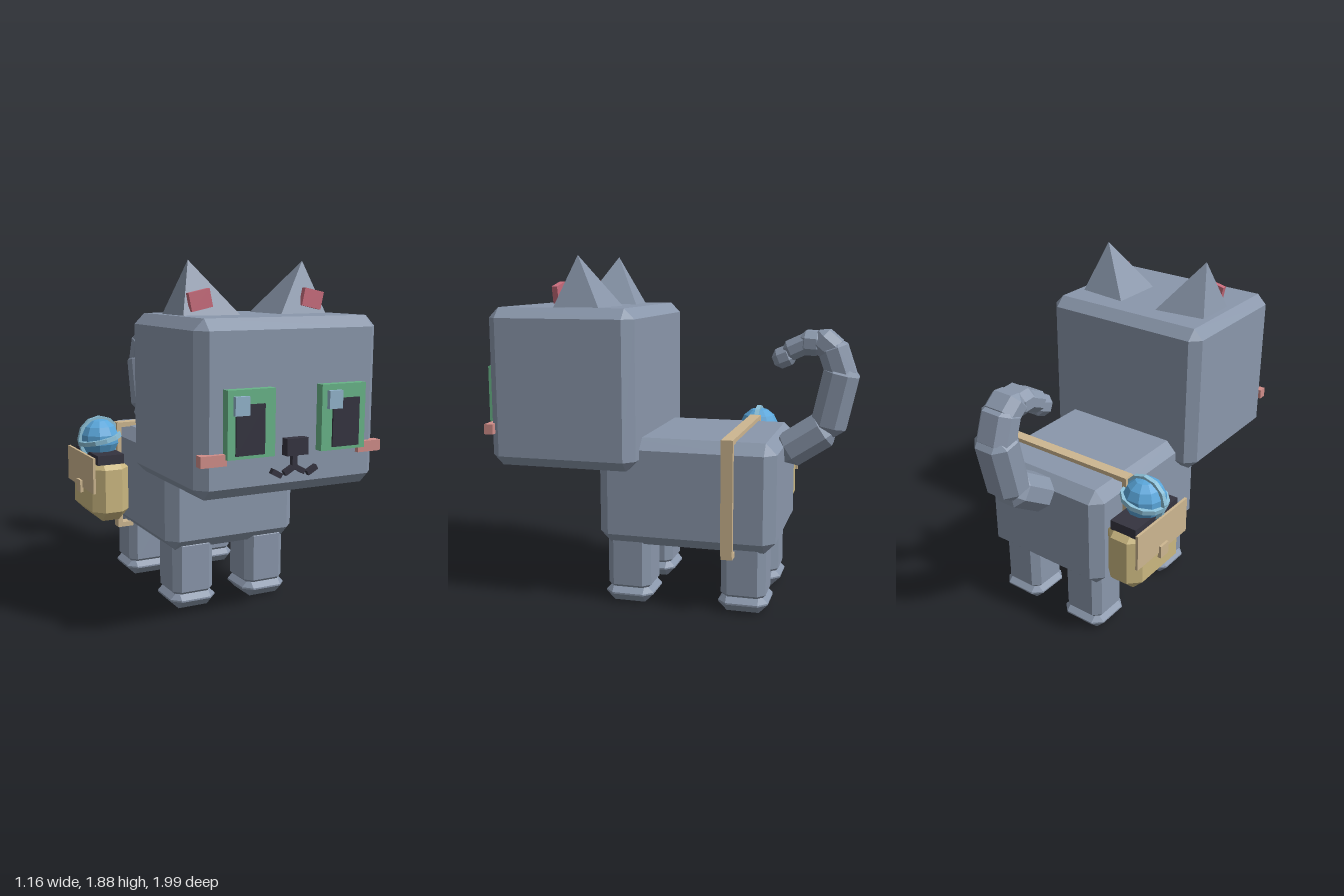
import * as THREE from 'three';
import { ConvexGeometry } from 'three/addons/geometries/ConvexGeometry.js';

const mat = (name, color, extra = {}) => {
  const m = new THREE.MeshStandardMaterial({ color });
  m.name = name;
  return Object.assign(m, extra);
};

// Box with flat chamfered edges and triangular corners
function chamferBox(w, h, d, b) {
  const pts = [];
  for (const sx of [-1, 1]) for (const sy of [-1, 1]) for (const sz of [-1, 1]) {
    const x = w / 2, y = h / 2, z = d / 2;
    pts.push(
      new THREE.Vector3(sx * x, sy * (y - b), sz * (z - b)),
      new THREE.Vector3(sx * (x - b), sy * y, sz * (z - b)),
      new THREE.Vector3(sx * (x - b), sy * (y - b), sz * z));
  }
  return new ConvexGeometry(pts);
}

export function createModel() {
  const model = new THREE.Group();
  model.name = 'cat';
  const MID = 0.07; // the cat's own centre line

  const fur = mat('greyFur', 0x8a97ab);
  const green = mat('eyeGreen', 0x68b488);
  const dark = mat('darkCharcoal', 0x353440);
  const shine = mat('eyeShine', 0x92b4cc);
  const earPink = mat('earPink', 0xc86c7c);
  const blush = mat('cheekPink', 0xd08d89);
  const strapTan = mat('strapTan', 0xcdb690);
  const bagTan = mat('bagTan', 0xcab780);
  const blue = mat('ballBlue', 0x5aa6da);
  const paleBlue = mat('ringPaleBlue', 0x8cc0d8);

  const add = (name, geo, material, parent = model) => {
    const m = new THREE.Mesh(geo, material);
    m.name = name;
    parent.add(m);
    return m;
  };
  // Boxes are given by their extents on each axis
  const box = (name, material, [x0, x1], [y0, y1], [z0, z1], bevel = 0) => {
    const s = [x1 - x0, y1 - y0, z1 - z0];
    const m = add(name, bevel ? chamferBox(...s, bevel) : new THREE.BoxGeometry(...s), material);
    m.position.set((x0 + x1) / 2, (y0 + y1) / 2, (z0 + z1) / 2);
    return m;
  };

  // Head and body
  box('head', fur, [-0.435, 0.575], [0.765, 1.615], [0.12, 0.93], 0.055);
  box('body', fur, [-0.325, 0.465], [0.34, 0.93], [-0.605, 0.36], 0.06);

  // Legs and feet
  for (const side of [-1, 1]) for (const [end, z] of [['front', 0.205], ['back', -0.43]]) {
    const x = MID + side * 0.224;
    box(end + 'Leg', fur, [x - 0.122, x + 0.122], [0.06, 0.4], [z - 0.122, z + 0.122], 0.04);
    box(end + 'Foot', fur, [x - 0.135, x + 0.135], [0, 0.105], [z - 0.135, z + 0.135], 0.048);
  }

  // Ears and inner ears
  for (const s of [-1, 1]) {
    const p = (x, y, z) => new THREE.Vector3(MID + s * x, y, z);
    add('ear', new ConvexGeometry([
      p(0.415, 1.61, 0.325), p(0.115, 1.61, 0.29), p(0.115, 1.61, 0.62), p(0.415, 1.61, 0.58),
      p(0.335, 1.885, 0.465)]), fur);
    const inner = add('innerEar', new THREE.BoxGeometry(0.117, 0.093, 0.03), earPink);
    inner.position.set(MID + s * 0.325, 1.69, 0.577);
    inner.rotation.z = -s * 0.21;
  }

  // Eyes: both pupils and glints sit toward the same side
  for (const [x, px, gx] of [[-0.182, -0.192, -0.243], [0.332, 0.342, 0.272]]) {
    box('eye', green, [x - 0.127, x + 0.127], [0.968, 1.293], [0.92, 0.977]);
    box('pupil', dark, [px - 0.077, px + 0.077], [0.985, 1.224], [0.97, 0.986]);
    box('eyeGlint', shine, [gx - 0.038, gx + 0.038], [1.175, 1.264], [0.97, 1.0]);
  }

  // Nose, mouth and cheeks
  box('nose', dark, [0.013, 0.132], [0.96, 1.043], [0.92, 0.977]);
  box('mouthStem', dark, [0.058, 0.086], [0.89, 0.965], [0.92, 0.955]);
  for (const s of [-1, 1]) {
    for (const [dx, y, tilt] of [[0.03, 0.885, -0.5], [0.1, 0.875, 0.5]]) {
      const bar = add('mouthBar', new THREE.BoxGeometry(0.06, 0.026, 0.035), dark);
      bar.position.set(0.073 + s * dx, y, 0.938);
      bar.rotation.z = s * tilt;
    }
    const c = MID + s * 0.438;
    box('cheek', blush, [c - 0.068, c + 0.068], [0.938, 0.993], [0.905, 0.955]);
  }

  // Tail: tapering blocks along a curl, each from (z, y) to (z, y)
  const tail = [
    [-0.58, 0.81, -0.85, 0.99, 0.22, 0.19],
    [-0.82, 0.93, -0.905, 1.32, 0.22, 0.19],
    [-0.91, 1.21, -0.83, 1.44, 0.2, 0.155],
    [-0.88, 1.36, -0.75, 1.47, 0.19, 0.14],
    [-0.8, 1.42, -0.66, 1.43, 0.18, 0.13],
    [-0.74, 1.44, -0.59, 1.37, 0.17, 0.11],
    [-0.64, 1.37, -0.53, 1.325, 0.15, 0.11]];
  for (const [z0, y0, z1, y1, w, t] of tail) {
    const len = Math.hypot(z1 - z0, y1 - y0);
    const seg = add('tailSegment', chamferBox(w, len, t, t * 0.29), fur);
    seg.position.set(MID, (y0 + y1) / 2, (z0 + z1) / 2);
    seg.rotation.x = Math.atan2(z1 - z0, y1 - y0);
  }

  // Strap running round the body
  const sz = [-0.39, -0.327];
  box('strapTop', strapTan, [-0.345, 0.493], [0.925, 0.953], sz);
  box('strapBottom', strapTan, [-0.34, 0.482], [0.314, 0.342], sz);
  box('strapLeft', strapTan, [0.463, 0.493], [0.335, 0.953], sz);
  box('strapRight', strapTan, [-0.35, -0.322], [0.314, 0.95], sz);

  // Side bag with its dark opening, flap and clasp
  box('bag', bagTan, [-0.555, -0.333], [0.402, 0.772], [-0.585, -0.145], 0.06);
  box('bagOpening', dark, [-0.53, -0.37], [0.74, 0.795], [-0.555, -0.17]);
  box('bagFlap', strapTan, [-0.571, -0.556], [0.585, 0.792], [-0.592, -0.138]);
  box('bagClasp', strapTan, [-0.585, -0.565], [0.555, 0.627], [-0.4, -0.33]);

  // Ball with two bands
  const ball = new THREE.Group();
  ball.name = 'ballInBag';
  ball.position.set(-0.45, 0.865, -0.362);
  model.add(ball);
  const flatBlue = blue;
  flatBlue.flatShading = true;
  paleBlue.flatShading = true;
  add('ball', new THREE.SphereGeometry(0.118, 10, 7), flatBlue, ball);
  const band = () => new THREE.CylinderGeometry(0.132, 0.132, 0.026, 12);
  add('uprightBand', band(), paleBlue, ball).rotation.x = Math.PI / 2;
  add('levelBand', band(), paleBlue, ball).rotation.z = 0.2;

  return model;
}
